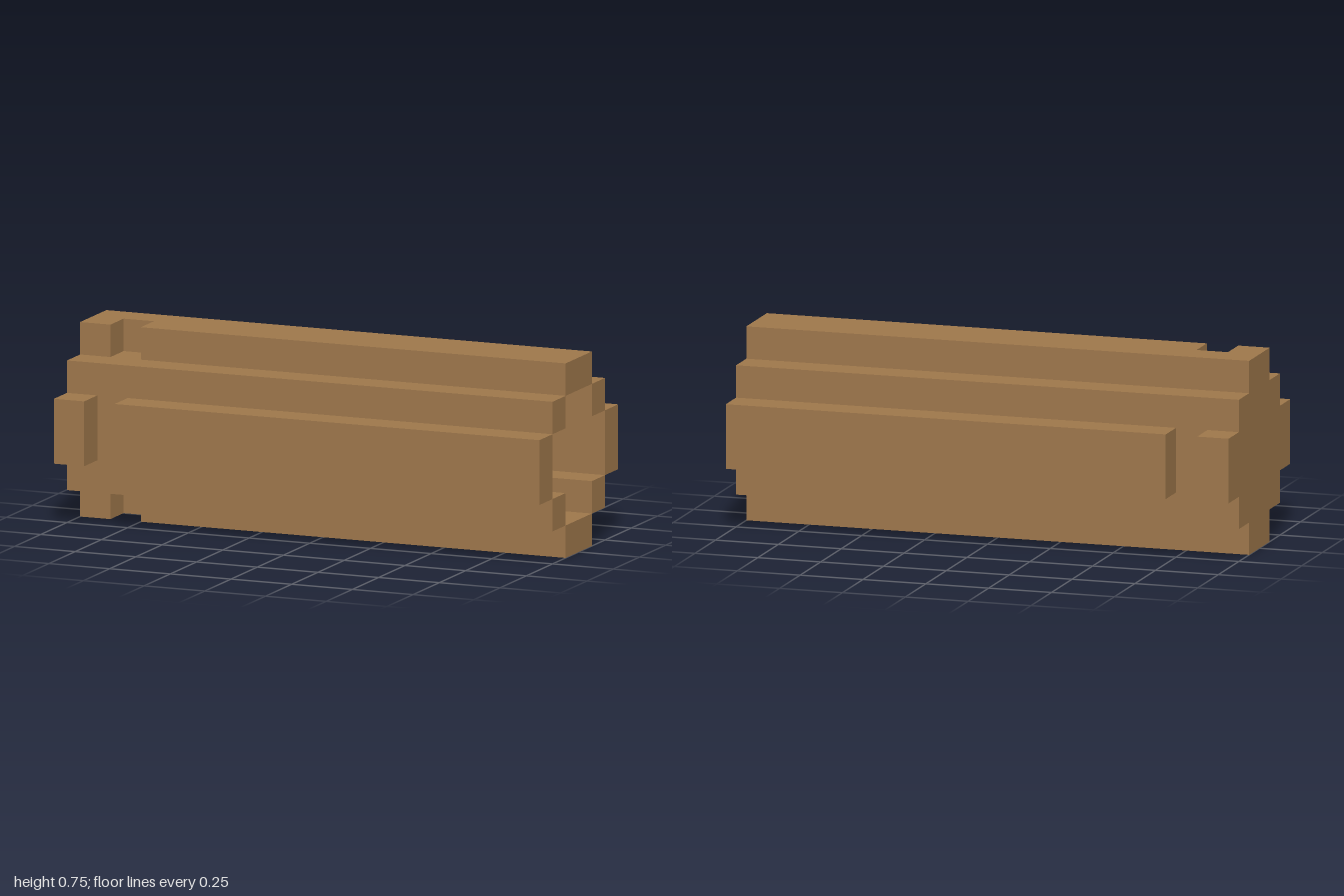
import * as THREE from 'three';

export function createModel() {
  const model = new THREE.Group();
  model.name = 'hollowLog';
  const bark = new THREE.MeshStandardMaterial({ color: 0x9e774b });
  bark.name = 'barkBrown';

  const U = 0.125;        // one block step
  const MID = 3 * U;      // height of the log's axis

  // box from min/max corners in block steps; y is measured from the axis
  function block(name, x0, x1, y0, y1, z0, z1) {
    const geo = new THREE.BoxGeometry((x1 - x0) * U, (y1 - y0) * U, (z1 - z0) * U);
    const mesh = new THREE.Mesh(geo, bark);
    mesh.name = name;
    mesh.position.set((x0 + x1) / 2 * U, (y0 + y1) / 2 * U + MID, (z0 + z1) / 2 * U);
    model.add(mesh);
  }

  // closed end: stepped round slab
  const quarter = [[3, 1], [2, 1], [2, 2], [1, 2], [1, 3]];
  const outline = [];
  for (let q = 0; q < 4; q++) {
    for (const [a, b] of quarter) {
      const [x, y] = [[a, b], [-b, a], [-a, -b], [b, -a]][q];
      outline.push(new THREE.Vector2(x * U, y * U));
    }
  }
  const capGeo = new THREE.ExtrudeGeometry(new THREE.Shape(outline), { depth: U, bevelEnabled: false });
  capGeo.rotateY(Math.PI / 2);
  const cap = new THREE.Mesh(capGeo, bark);
  cap.name = 'endCap';
  cap.position.set(-8 * U, MID, 0);
  model.add(cap);

  // core showing at the bottom of the groove
  block('grooveCore', -7, -6, -2, 2, -2, 2);

  for (const s of [-1, 1]) {
    const span = (a, b) => (s > 0 ? [a, b] : [-b, -a]);
    const side = s > 0 ? 'left' : 'right';
    const level = s > 0 ? 'top' : 'bottom';
    const face = s > 0 ? 'front' : 'back';

    // top and bottom staves, bridging the groove on the back half only
    block(level + 'Stave', -6, 8, ...span(2, 3), -1, 1);
    block(level + 'GrooveBridge', -7, -6, ...span(2, 3), -1, 0);

    // front and back staves
    block(face + 'Stave', -6, 8, -1, 1, ...span(2, 3));

    // diagonal staves
    block(face + 'UpperStave', -6, 8, 1, 2, ...span(1, 2));
    block(face + 'LowerStave', -6, 8, -2, -1, ...span(1, 2));

    // small inner steps at the closed end
    block(face + 'InnerStep', -6, -5, -1, 0, ...span(1, 2));
  }
  return model;
}
